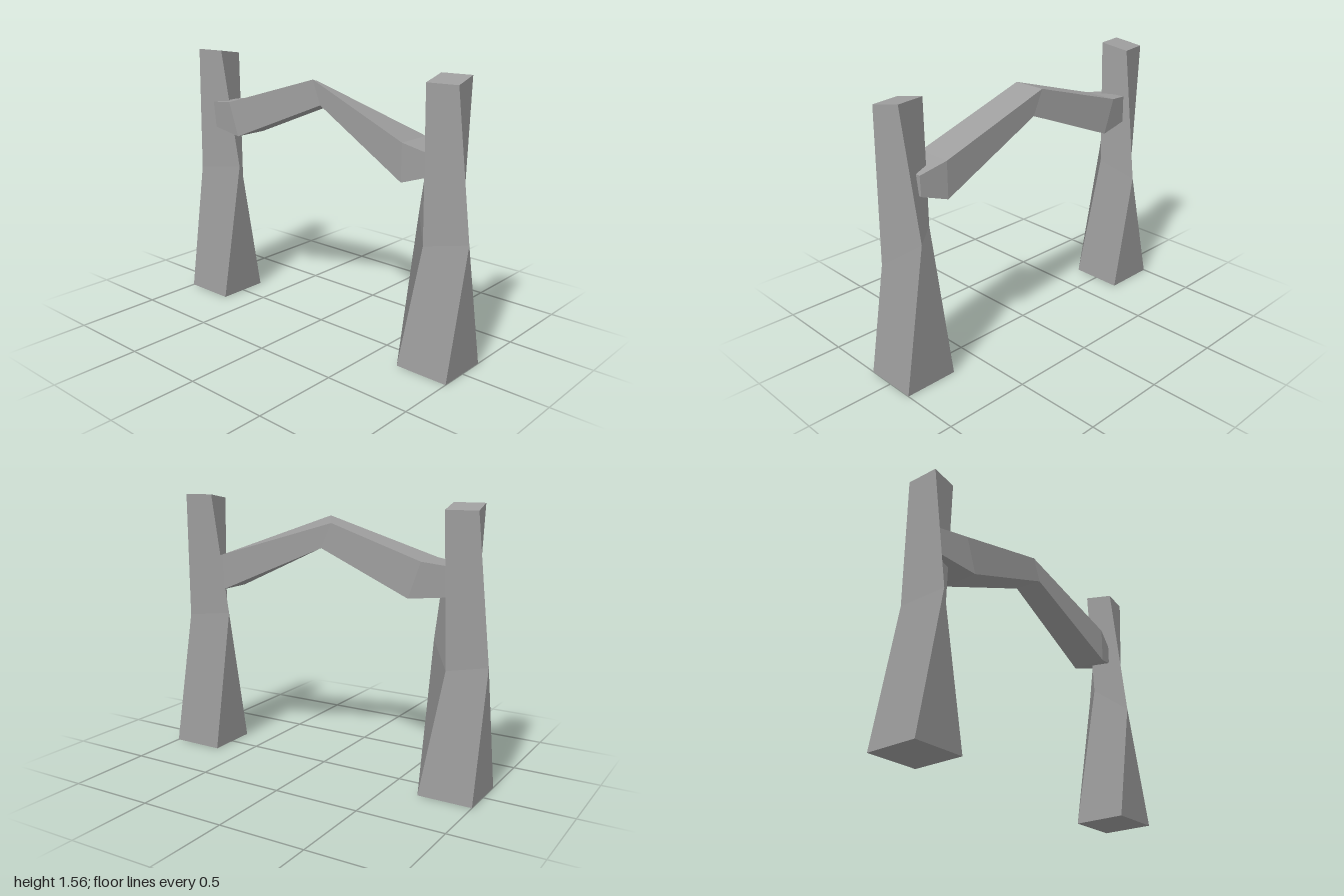
import * as THREE from 'three';

const material = new THREE.MeshStandardMaterial({ color: 0x9d9d9d });

// Joins four-cornered rings into a capped faceted solid; each quad gets one normal.
// Ring corners run counter-clockwise when seen from the last ring's end.
function loft(name, rings) {
  const positions = [], normals = [];
  const quad = (a, b, c, d) => {
    const n = c.clone().sub(a).cross(d.clone().sub(b)).normalize();
    for (const p of [a, b, d, b, c, d]) {
      positions.push(p.x, p.y, p.z);
      normals.push(n.x, n.y, n.z);
    }
  };
  const r = rings.map(ring => ring.map(p => new THREE.Vector3(...p)));
  for (let i = 0; i < r.length - 1; i++) {
    for (let j = 0; j < 4; j++) {
      const k = (j + 1) % 4;
      quad(r[i][j], r[i][k], r[i + 1][k], r[i + 1][j]);
    }
  }
  quad(...[...r[0]].reverse());
  quad(...r[r.length - 1]);

  const geometry = new THREE.BufferGeometry();
  geometry.setAttribute('position', new THREE.Float32BufferAttribute(positions, 3));
  geometry.setAttribute('normal', new THREE.Float32BufferAttribute(normals, 3));
  const mesh = new THREE.Mesh(geometry, material);
  mesh.name = name;
  return mesh;
}

// Square foot, twisted waist, narrow slanted top
function makePost(name) {
  return loft(name, [
    [[0.687, 0, 0.157], [1, 0, 0.157], [1, 0, -0.156], [0.687, 0, -0.156]],
    [[0.825, 0.715, 0.153], [1, 0.72, -0.002], [0.86, 0.835, -0.155], [0.688, 0.835, 0]],
    [[0.77, 1.532, 0.097], [0.94, 1.532, 0.067], [0.912, 1.56, -0.098], [0.745, 1.56, -0.07]],
  ]);
}

export function createModel() {
  const group = new THREE.Group();
  group.name = 'gateway';

  // Posts: the second is the first turned half round
  const leftPost = makePost('leftPost');
  const rightPost = makePost('rightPost');
  rightPost.rotation.y = Math.PI;
  group.add(leftPost, rightPost);

  // Bent crossbeam; corners are bottom front, bottom back, top back, top front
  group.add(loft('crossbeam', [
    [[-0.825, 1.087, 0.07], [-0.825, 1.087, -0.07], [-0.83, 1.24, -0.07], [-0.83, 1.24, 0.07]],
    [[-0.58, 1.063, 0.103], [-0.58, 1.063, -0.11], [-0.65, 1.263, -0.11], [-0.65, 1.263, 0.103]],
    [[0.045, 1.323, 0.058], [-0.02, 1.288, -0.065], [-0.085, 1.43, -0.065], [-0.01, 1.46, 0.058]],
    [[0.64, 1.003, 0.103], [0.64, 1.003, -0.107], [0.64, 1.213, -0.107], [0.64, 1.213, 0.103]],
    [[0.787, 1.05, 0.055], [0.787, 1.05, -0.075], [0.79, 1.165, -0.075], [0.79, 1.165, 0.055]],
  ]));

  return group;
}
